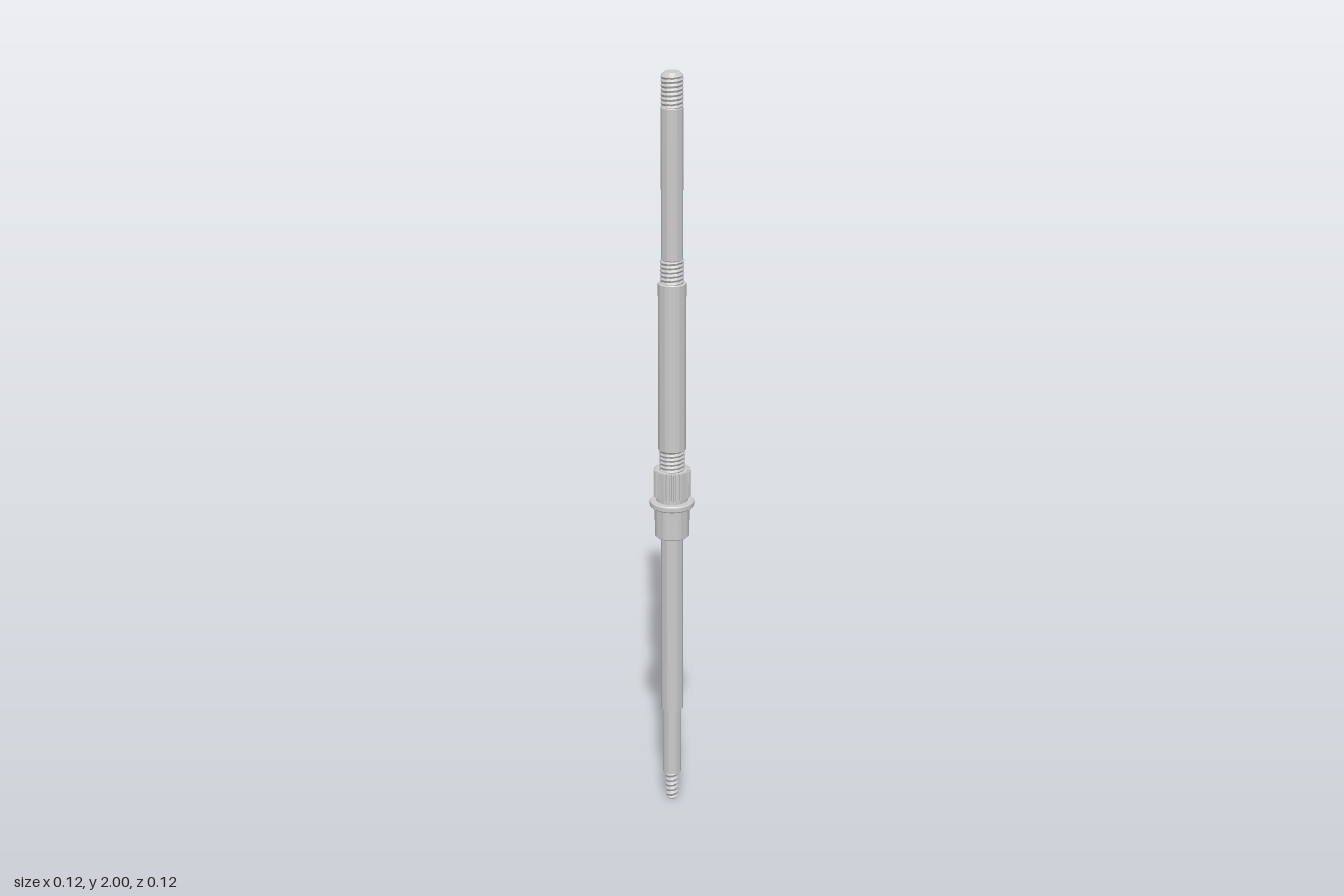
import * as THREE from 'three';
import { toCreasedNormals } from 'three/addons/utils/BufferGeometryUtils.js';

const material = new THREE.MeshStandardMaterial({ color: 0xcccccc });

export function createModel() {
  const group = new THREE.Group();

  const add = (name, geometry, y = 0) => {
    const mesh = new THREE.Mesh(geometry, material);
    mesh.name = name;
    mesh.position.y = y;
    group.add(mesh);
  };

  // Turned part from [radius, y] pairs, listed bottom to top
  const turned = (name, profile) => {
    const points = profile.map(([r, y]) => new THREE.Vector2(r, y));
    add(name, toCreasedNormals(new THREE.LatheGeometry(points, 64), 0.4));
  };
  // Plain section with a small chamfer at both ends
  const rod = (name, r, y0, y1, c = 0.002) =>
    turned(name, [[0, y0], [r - c, y0], [r, y0 + c], [r, y1 - c], [r - c, y1], [0, y1]]);

  // Flat outline lying in the xz plane, extruded upward
  const extrudeUp = (name, shape, y0, y1) => {
    const g = new THREE.ExtrudeGeometry(shape, { depth: y1 - y0, bevelEnabled: false, curveSegments: 48 });
    g.rotateX(-Math.PI / 2);
    add(name, toCreasedNormals(g, 0.4), y0);
  };

  // Round shaft with one flat facing the back (-z)
  const flattedShaft = (name, r, flat, y0, y1) => {
    const a = Math.asin(flat / r);
    const shape = new THREE.Shape();
    shape.absarc(0, 0, r, Math.PI - a, 2 * Math.PI + a, false);
    shape.closePath();
    extrudeUp(name, shape, y0, y1);
  };

  // Right-hand helical thread; end chamfers taper the crests
  const thread = (name, r, depth, pitch, y0, y1, chamferBottom = 0, chamferTop = 0) => {
    const h = y1 - y0;
    const g = new THREE.CylinderGeometry(r, r, h, 48, Math.round((h / pitch) * 10));
    const p = g.attributes.position;
    for (let i = 0; i < p.count; i++) {
      const x = p.getX(i), z = p.getZ(i), y = p.getY(i) + h / 2;
      const len = Math.hypot(x, z);
      if (len < 1e-6) continue;
      const turn = Math.atan2(-z, x) / (2 * Math.PI);
      const phase = (((y / pitch - turn) % 1) + 1) % 1;
      let radius = r - depth * Math.abs(2 * phase - 1);
      radius = Math.min(radius, r - Math.max(0, chamferBottom - y), r - Math.max(0, chamferTop - (h - y)));
      p.setX(i, (x / len) * radius);
      p.setZ(i, (z / len) * radius);
    }
    add(name, toCreasedNormals(g, 0.4), y0 + h / 2);
  };

  // Lower end
  thread('bottomThread', 0.018, 0.004, 0.014, 0, 0.08, 0.004, 0);
  flattedShaft('lowerFlattedShaft', 0.024, 0.016, 0.08, 0.27);
  flattedShaft('mainFlattedShaft', 0.029, 0.02, 0.27, 0.77);

  // Collar and flange
  rod('collar', 0.045, 0.77, 0.853);
  rod('flange', 0.058, 0.853, 0.87, 0.003);
  rod('splineNeck', 0.041, 0.868, 0.885, 0.001);

  // Splined section
  const teeth = 28, root = 0.042, tip = 0.048;
  const outline = [];
  for (let i = 0; i < teeth; i++) {
    for (const [t, r] of [[0, root], [0.4, root], [0.5, tip], [0.9, tip]]) {
      const a = ((i + t) / teeth) * Math.PI * 2;
      outline.push(new THREE.Vector2(Math.cos(a) * r, Math.sin(a) * r));
    }
  }
  extrudeUp('spline', new THREE.Shape(outline), 0.882, 0.955);

  // Upper shaft, stepping down towards the top
  thread('lowerThread', 0.034, 0.003, 0.011, 0.955, 1.01);
  rod('upperShaft', 0.036, 1.01, 1.46);
  thread('middleThread', 0.031, 0.003, 0.011, 1.46, 1.52);
  rod('topShaft', 0.028, 1.52, 1.912);
  thread('topThread', 0.029, 0.003, 0.011, 1.912, 2.0, 0, 0.01);

  return group;
}
